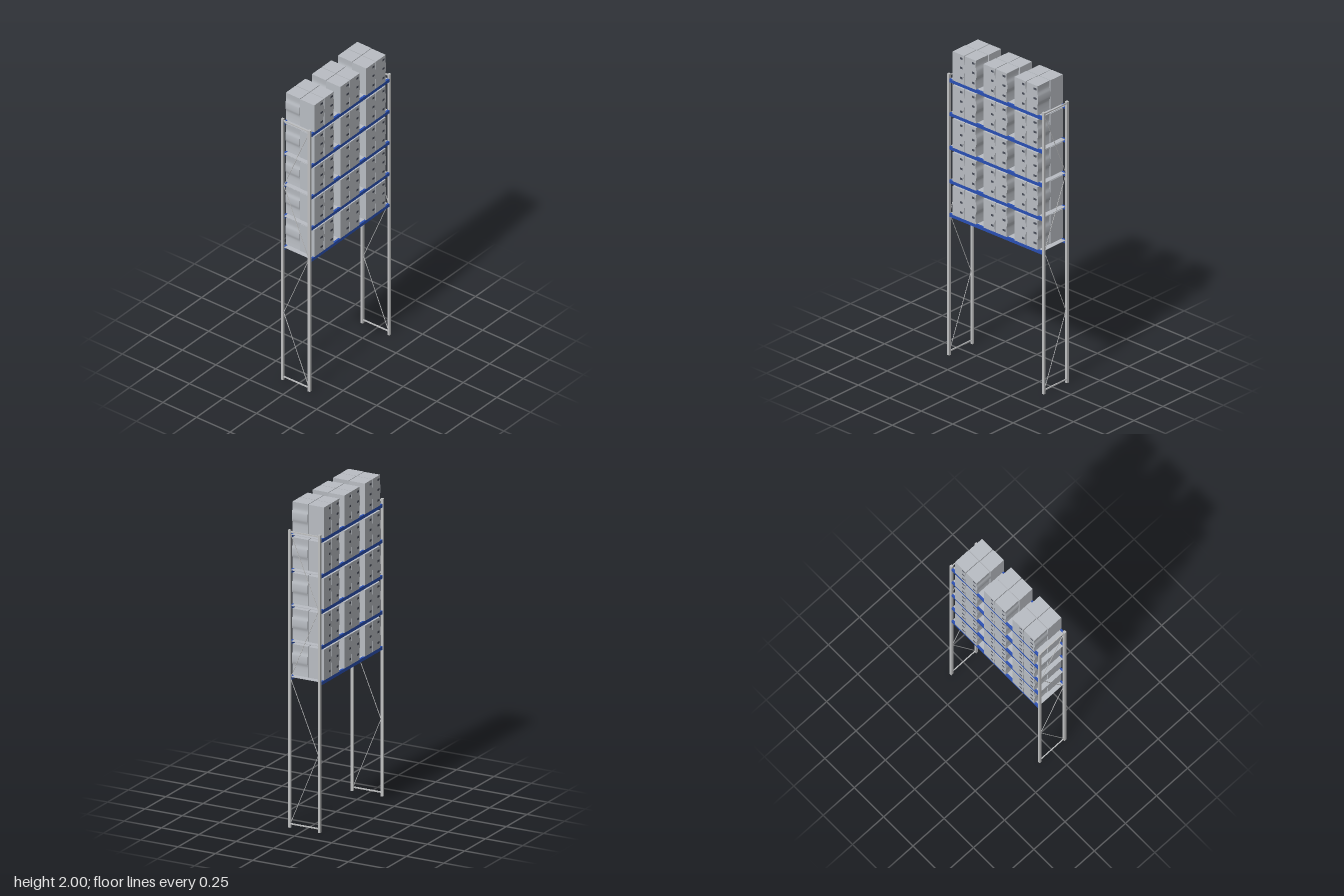
import * as THREE from 'three';

export function createModel() {
  const model = new THREE.Group();
  model.name = 'palletRack';
  const material = (name, color) => {
    const m = new THREE.MeshStandardMaterial({ color });
    m.name = name;
    return m;
  };
  const steel = material('galvanised steel', 0xbfc0c1);
  const blue = material('beam blue', 0x2a50b4);
  const grey = material('bin grey', 0xb9bdc3);
  const dark = material('slot dark', 0x4a4e5a);

  const add = (parent, name, geometry, mat, x, y, z) => {
    const mesh = new THREE.Mesh(geometry, mat);
    mesh.name = name;
    mesh.position.set(x, y, z);
    parent.add(mesh);
    return mesh;
  };

  // Side frames: two posts, end struts and zigzag bracing
  const post = new THREE.BoxGeometry(0.016, 1.84, 0.016);
  const strut = new THREE.BoxGeometry(0.006, 0.008, 0.19);
  const brace = [[0.095, 0.025], [-0.092, 0.475], [0.095, 0.925], [-0.092, 1.37], [0.095, 1.82]];
  for (const side of [-1, 1]) {
    const frame = new THREE.Group();
    frame.name = side > 0 ? 'leftFrame' : 'rightFrame';
    frame.position.x = side * 0.376;
    model.add(frame);
    for (const z of [-0.1, 0.1]) add(frame, 'post', post, steel, 0, 0.92, z);
    for (const y of [0.023, 1.828]) add(frame, 'strut', strut, steel, 0, y, 0);
    for (let i = 0; i < brace.length - 1; i++) {
      const [z0, y0] = brace[i], [z1, y1] = brace[i + 1];
      const bar = add(frame, 'brace', new THREE.BoxGeometry(0.003, 0.003, Math.hypot(z1 - z0, y1 - y0)),
        steel, 0, (y0 + y1) / 2, (z0 + z1) / 2);
      bar.rotation.x = -Math.atan2(y1 - y0, z1 - z0);
    }
  }

  // Bin body with one wavy side edge
  const depth = 0.105, height = 0.19;
  const outline = new THREE.Shape();
  outline.moveTo(0, 0);
  outline.lineTo(0.09, 0);
  outline.splineThru([[0.088, 0.03], [0.088, 0.06], [0.0935, 0.085], [0.0935, 0.12], [0.088, 0.15], [0.09, height]]
    .map(([x, y]) => new THREE.Vector2(x, y)));
  outline.lineTo(0, height);
  outline.closePath();
  const binBody = new THREE.ExtrudeGeometry(outline, { depth, bevelEnabled: false, curveSegments: 18 });
  const slot = new THREE.BoxGeometry(0.02, 0.013, 0.002);

  // Four bins stand on each pallet place, the rear pair turned around
  const makeStack = () => {
    const stack = new THREE.Group();
    stack.name = 'binStack';
    for (const turn of [0, Math.PI]) {
      const row = new THREE.Group();
      row.name = turn ? 'rearBins' : 'frontBins';
      row.rotation.y = turn;
      for (const x of [-0.0935, 0.0005]) {
        add(row, 'bin', binBody, grey, x, 0, 0.002);
        for (const y of [0.038, 0.104, 0.166]) add(row, 'slot', slot, dark, x + 0.069, y, depth + 0.002);
      }
      stack.add(row);
    }
    return stack;
  };

  // Loaded levels: beams, thin deck and three stacks
  const beam = new THREE.BoxGeometry(0.736, 0.021, 0.013);
  const deck = new THREE.BoxGeometry(0.736, 0.003, 0.187);
  for (let i = 0; i < 5; i++) {
    const level = new THREE.Group();
    level.name = 'level' + (i + 1);
    level.position.y = 0.93 + 0.22 * i;
    model.add(level);
    for (const z of [-0.1, 0.1]) add(level, 'beam', beam, blue, 0, -0.0108, z);
    add(level, 'deck', deck, grey, 0, -0.0018, 0);
    for (const x of [-0.247, -0.002, 0.243]) {
      const stack = makeStack();
      stack.position.x = x;
      level.add(stack);
    }
  }
  return model;
}
